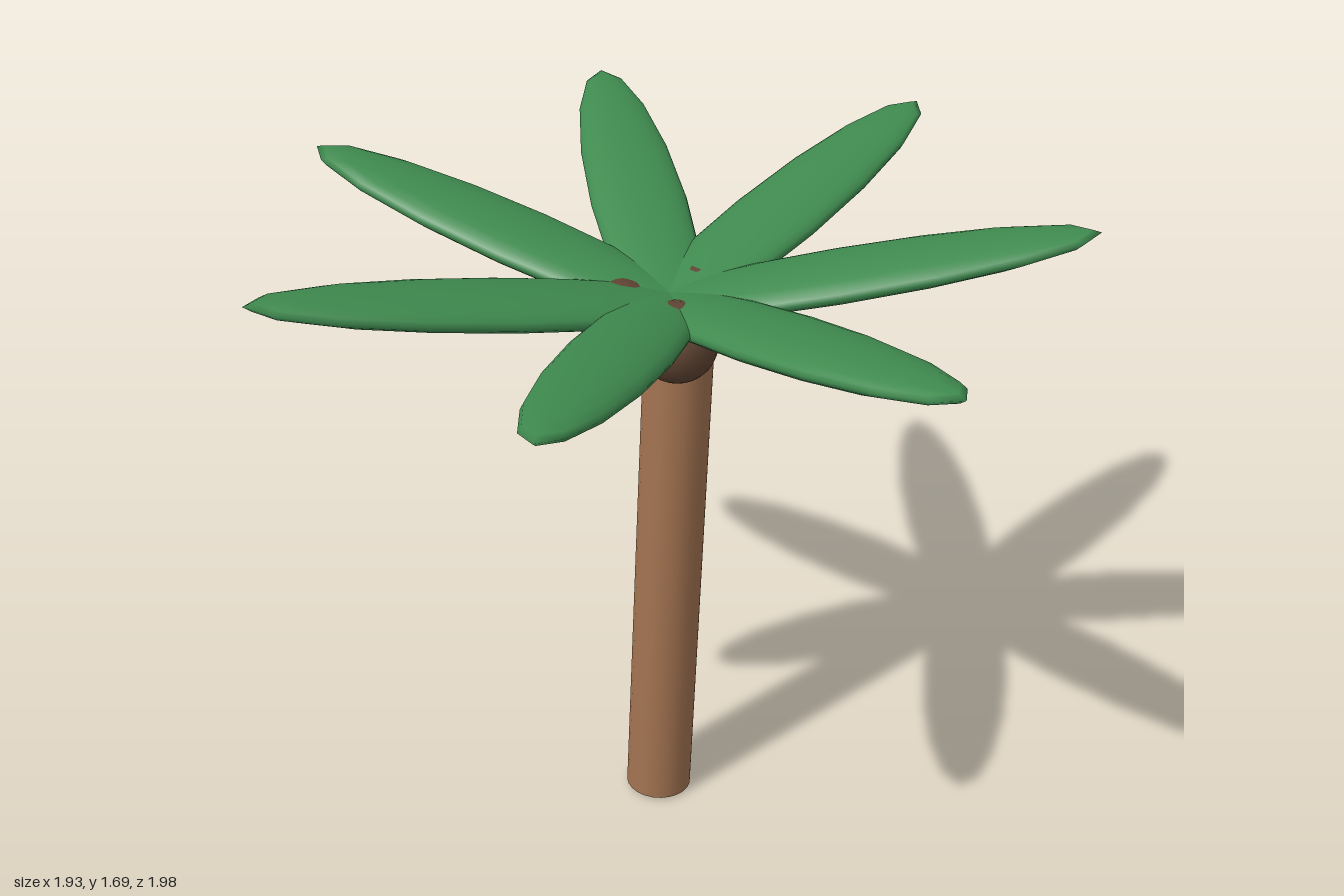
import * as THREE from 'three';

export function createModel() {
  const model = new THREE.Group();
  model.name = 'palmTree';

  const material = (name, color) => {
    const m = new THREE.MeshStandardMaterial({ color });
    m.name = name;
    return m;
  };
  const bark = material('bark', 0xa0714f);
  const leafGreen = material('leafGreen', 0x3f8a4f);
  const husk = material('husk', 0x5f4433);

  // Leaning trunk, pivoting at the centre of its foot
  const trunkGeometry = new THREE.CylinderGeometry(0.088, 0.088, 1.44, 24);
  trunkGeometry.translate(0, 0.72, 0);
  const trunk = new THREE.Mesh(trunkGeometry, bark);
  trunk.name = 'trunk';
  trunk.position.set(-0.102, 0.006, 0);
  trunk.rotation.z = -0.067;
  model.add(trunk);

  // Crown of seven long flattened leaves, tilted upwards and overlapping at the middle
  const crown = new THREE.Group();
  crown.name = 'crown';
  crown.position.set(-0.05, 1.56, 0);
  const leafGeometry = new THREE.SphereGeometry(1, 16, 12);
  leafGeometry.scale(0.62, 0.042, 0.124);
  leafGeometry.rotateZ(0.2);
  leafGeometry.translate(0.41, 0, 0);
  for (let i = 0; i < 7; i++) {
    const leaf = new THREE.Mesh(leafGeometry, leafGreen);
    leaf.name = `leaf${i + 1}`;
    leaf.rotation.y = (i / 7) * Math.PI * 2;
    crown.add(leaf);
  }
  model.add(crown);

  // Three coconuts tucked under the leaves
  const nutGeometry = new THREE.SphereGeometry(0.1, 20, 14);
  [[0.07, 0], [-0.125, 0.092], [-0.125, -0.092]].forEach(([x, z], i) => {
    const nut = new THREE.Mesh(nutGeometry, husk);
    nut.name = `coconut${i + 1}`;
    nut.position.set(x, 1.437, z);
    model.add(nut);
  });

  return model;
}
